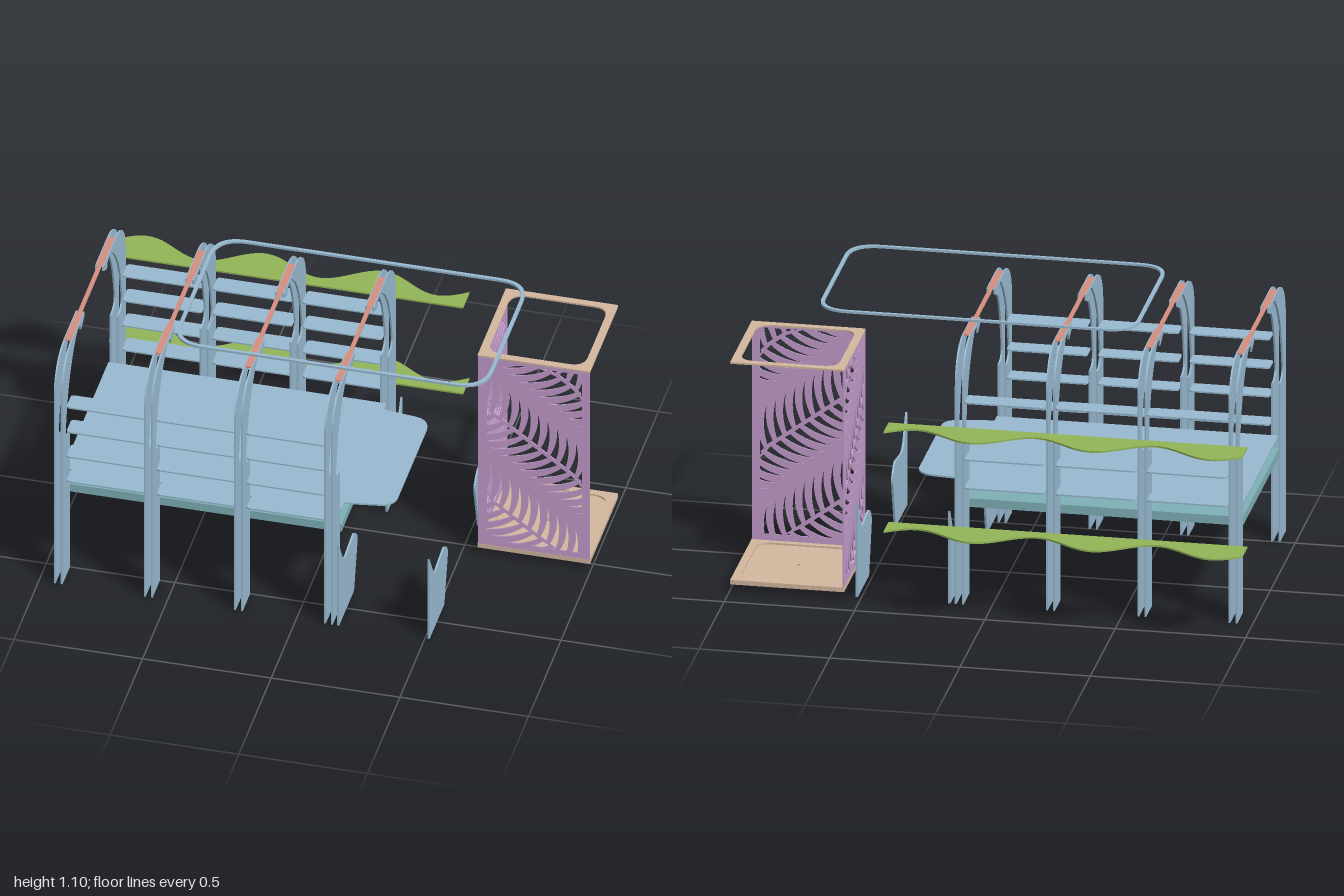
import * as THREE from 'three';
import { mergeGeometries } from 'three/addons/utils/BufferGeometryUtils.js';

const mat = (color) => new THREE.MeshStandardMaterial({ color, side: THREE.DoubleSide });
const blue = mat(0x98bad0), teal = mat(0x7fb0b8), green = mat(0x92b558);
const red = mat(0xd58f80), tan = mat(0xd4b79f), purple = mat(0xc39ccb);
const MID = 0.1275; // z of the plane the frames mirror about

function roundedRect(x0, x1, z0, z1, r, Type = THREE.Shape) {
  const s = new Type();
  s.moveTo(x0 + r, z0);
  s.lineTo(x1 - r, z0);
  s.quadraticCurveTo(x1, z0, x1, z0 + r);
  s.lineTo(x1, z1 - r);
  s.quadraticCurveTo(x1, z1, x1 - r, z1);
  s.lineTo(x0 + r, z1);
  s.quadraticCurveTo(x0, z1, x0, z1 - r);
  s.lineTo(x0, z0 + r);
  s.quadraticCurveTo(x0, z0, x0 + r, z0);
  return s;
}

const extrude = (shape, depth) =>
  new THREE.ExtrudeGeometry(shape, { depth, bevelEnabled: false, curveSegments: 10 });

// Upright sheet: the shape is drawn in (z, y), its thickness centred on x
function sheetX(shape, x, t) {
  return extrude(shape, t).rotateY(-Math.PI / 2).translate(x + t / 2, 0, 0);
}

// Lying sheet: the shape is drawn in (x, z), its top at the given height
function sheetY(shape, top, t) {
  return extrude(shape, t).rotateX(Math.PI / 2).translate(0, top, 0);
}

// Copy of a (z, y) shape on the other side of the frame
function mirrored(shape) {
  return new THREE.Shape(shape.getPoints(10).map((p) => new THREE.Vector2(2 * MID - p.x, p.y)));
}

// Half of an arched frame: post, bend and hooked end
function archHalf() {
  const s = new THREE.Shape();
  s.moveTo(0.5, 0);
  s.lineTo(0.615, 0);
  s.lineTo(0.615, 0.88);
  s.bezierCurveTo(0.615, 0.97, 0.55, 1.033, 0.465, 1.033);
  s.lineTo(0.275, 1.033);
  s.lineTo(0.275, 1.012);
  s.quadraticCurveTo(0.295, 1.0, 0.328, 0.987);
  s.bezierCurveTo(0.335, 1.03, 0.385, 1.032, 0.407, 1.005);
  s.bezierCurveTo(0.5, 0.93, 0.54, 0.82, 0.562, 0.69);
  s.bezierCurveTo(0.568, 0.655, 0.545, 0.637, 0.5, 0.64);
  s.lineTo(0.5, 0);
  return s;
}

// Low bracket with a scooped top
function footShape() {
  const s = new THREE.Shape();
  s.moveTo(0.615, 0);
  s.lineTo(0.615, 0.375);
  s.lineTo(0.565, 0.29);
  s.quadraticCurveTo(0.545, 0.25, 0.5, 0.25);
  s.lineTo(0.385, 0.265);
  s.quadraticCurveTo(0.33, 0.24, 0.33, 0.2);
  s.lineTo(0.385, 0);
  s.lineTo(0.615, 0);
  return s;
}

// Pierced sheet of curved leaflets inside a border, drawn in (u, v)
function leafPanel(w, h, t) {
  const border = roundedRect(0, w, 0, h, 0.002);
  const x0 = 0.035, x1 = w - 0.03, y0 = 0.025, y1 = h - 0.015;
  border.holes.push(roundedRect(x0, x1, y0, y1, 0.004, THREE.Path));
  const parts = [extrude(border, t)];
  const dir = new THREE.Vector2(-0.8, 0.6), nor = new THREE.Vector2(0.6, 0.8);
  const blade = (at, width, tip) => { // tapering strip, trimmed to the border
    const a = [], b = [], n = 14;
    let inside = false;
    for (let i = 0; i <= n; i++) {
      const s = i / n, p = at(s), q = at(s + 0.01).sub(p).normalize();
      inside ||= p.x > x0 && p.x < x1 && p.y > y0 && p.y < y1;
      const half = width * (tip ? 0.55 + 0.45 * Math.sin(Math.PI * Math.min(1, s * 1.05)) : 1);
      const put = (k) => new THREE.Vector2(
        THREE.MathUtils.clamp(p.x - q.y * k, x0, x1),
        THREE.MathUtils.clamp(p.y + q.x * k, y0, y1));
      a.push(put(half));
      b.unshift(put(-half));
    }
    if (inside) parts.push(extrude(new THREE.Shape([...a, ...b]), t));
  };
  for (const c of [0.25, 0.66, 1.07]) {
    const root = new THREE.Vector2(w + 0.25, c - 0.75 * (w + 0.25));
    blade((s) => root.clone().addScaledVector(dir, s * 1.1), 0.007, false);
    for (const side of [-1, 1]) {
      for (let k = 0; k < 23; k++) {
        const base = root.clone().addScaledVector(dir, k * 0.046 + (side > 0 ? 0.02 : 0) - 0.1);
        blade((s) => base.clone()
          .addScaledVector(nor, side * 0.185 * Math.sin(s * 1.45))
          .addScaledVector(dir, 0.06 * s + 0.15 * s * s), 0.0145, true);
      }
    }
  }
  return mergeGeometries(parts);
}

export function createModel() {
  const model = new THREE.Group();
  const add = (name, geometry, material) => {
    const mesh = new THREE.Mesh(geometry, material);
    mesh.name = name;
    model.add(mesh);
    return mesh;
  };
  const box = (x0, x1, y0, y1, z0, z1) => new THREE.BoxGeometry(x1 - x0, y1 - y0, z1 - z0)
    .translate((x0 + x1) / 2, (y0 + y1) / 2, (z0 + z1) / 2);

  // Arched frames: twin sheets front and back, joined by a ridge strip
  const arch = archHalf(), foot = footShape();
  for (const x of [-0.925, -0.575, -0.225, 0.125]) {
    for (const dx of [-0.0135, 0.0135]) {
      add('frontArch', sheetX(arch, x + dx, 0.007), blue);
      add('backArch', sheetX(mirrored(arch), x + dx, 0.007), blue);
    }
    const ridge = new THREE.Shape();
    const half = [[-0.21, 0.013], [-0.03, 0.013], [-0.02, 0.008], [0.275, 0.008], [0.285, 0.013], [0.465, 0.013]];
    half.forEach(([z, w], i) => (i ? ridge.lineTo(x + w, z) : ridge.moveTo(x + w, z)));
    half.reverse().forEach(([z, w]) => ridge.lineTo(x - w, z));
    add('ridgeStrip', sheetY(ridge, 1.034, 0.006), red);
  }

  // Bracket feet
  for (const x of [0.163, 0.514]) {
    add('frontFoot', sheetX(foot, x, 0.008), blue);
    add('backFoot', sheetX(mirrored(foot), x + (x > 0.5 ? 0.004 : 0), 0.008), blue);
  }

  // Slats between the frames
  for (const x of [-0.9, -0.55, -0.2]) {
    for (const y of [0.468, 0.583, 0.698, 0.813]) {
      add('frontSlat', sheetY(roundedRect(x, x + 0.31, 0.51, 0.59, 0.015), y, 0.006), blue);
      add('backSlat', sheetY(roundedRect(x, x + 0.31, -0.35, -0.27, 0.015), y, 0.006), blue);
    }
  }

  // Bed base in two halves, with the deck above it
  add('baseFrontHalf', box(-0.94, 0.145, 0.348, 0.383, MID, 0.493), teal);
  add('baseBackHalf', box(-0.94, 0.145, 0.348, 0.383, -0.238, MID), teal);
  const deck = new THREE.Shape();
  deck.moveTo(-0.94, -0.22);
  deck.lineTo(0.14, -0.22);
  deck.lineTo(0.14, -0.18);
  deck.lineTo(0.27, -0.165);
  deck.quadraticCurveTo(0.328, -0.155, 0.328, -0.09);
  deck.lineTo(0.328, 0.345);
  deck.quadraticCurveTo(0.328, 0.4, 0.27, 0.41);
  deck.lineTo(0.14, 0.43);
  deck.lineTo(0.14, 0.475);
  deck.lineTo(-0.94, 0.475);
  add('deck', sheetY(deck, 0.44, 0.007), blue);

  // Wavy shelves behind the frames
  const wave = new THREE.Shape();
  wave.moveTo(0.376, -0.465);
  wave.lineTo(-1, -0.465);
  for (let i = 0; i <= 72; i++) {
    const x = -1 + (1.376 * i) / 72;
    wave.lineTo(x, -0.565 - 0.05 * Math.sin((2 * Math.PI * (x + 1)) / 0.4587));
  }
  for (const y of [0.355, 0.757]) add('wavyShelf', sheetY(wave, y, 0.007), green);

  // Overhead rail loop
  const loop = roundedRect(-0.523, 0.7, -0.227, 0.473, 0.12);
  loop.holes.push(roundedRect(-0.509, 0.686, -0.213, 0.459, 0.11, THREE.Path));
  add('overheadRail', sheetY(loop, 1.101, 0.009), blue);

  // Shower stall: tray, drain, top rim and two pierced screens
  const tray = roundedRect(0.56, 0.997, -0.395, 0.043, 0.002);
  const drainHole = new THREE.Path();
  drainHole.absarc(0.778, -0.176, 0.008, 0, Math.PI * 2, true);
  tray.holes.push(drainHole);
  add('tray', sheetY(tray, 0.041, 0.011), tan);
  const rim = roundedRect(0.56, 0.997, -0.395, 0.043, 0.002);
  rim.holes.push(roundedRect(0.59, 0.967, -0.367, 0.014, 0.06, THREE.Path));
  add('trayRim', sheetY(rim, 0.048, 0.007), tan);
  add('topRim', sheetY(rim, 0.929, 0.007), tan);
  add('drain', new THREE.CylinderGeometry(0.021, 0.021, 0.02, 24, 1, true).translate(0.778, 0.02, -0.176), tan);

  const screen = leafPanel(0.435, 0.874, 0.005);
  add('frontScreen', screen, purple).position.set(0.561, 0.048, 0.037);
  const side = add('sideScreen', screen, purple);
  side.rotation.y = Math.PI / 2;
  side.position.set(0.561, 0.048, 0.042);
  return model;
}
